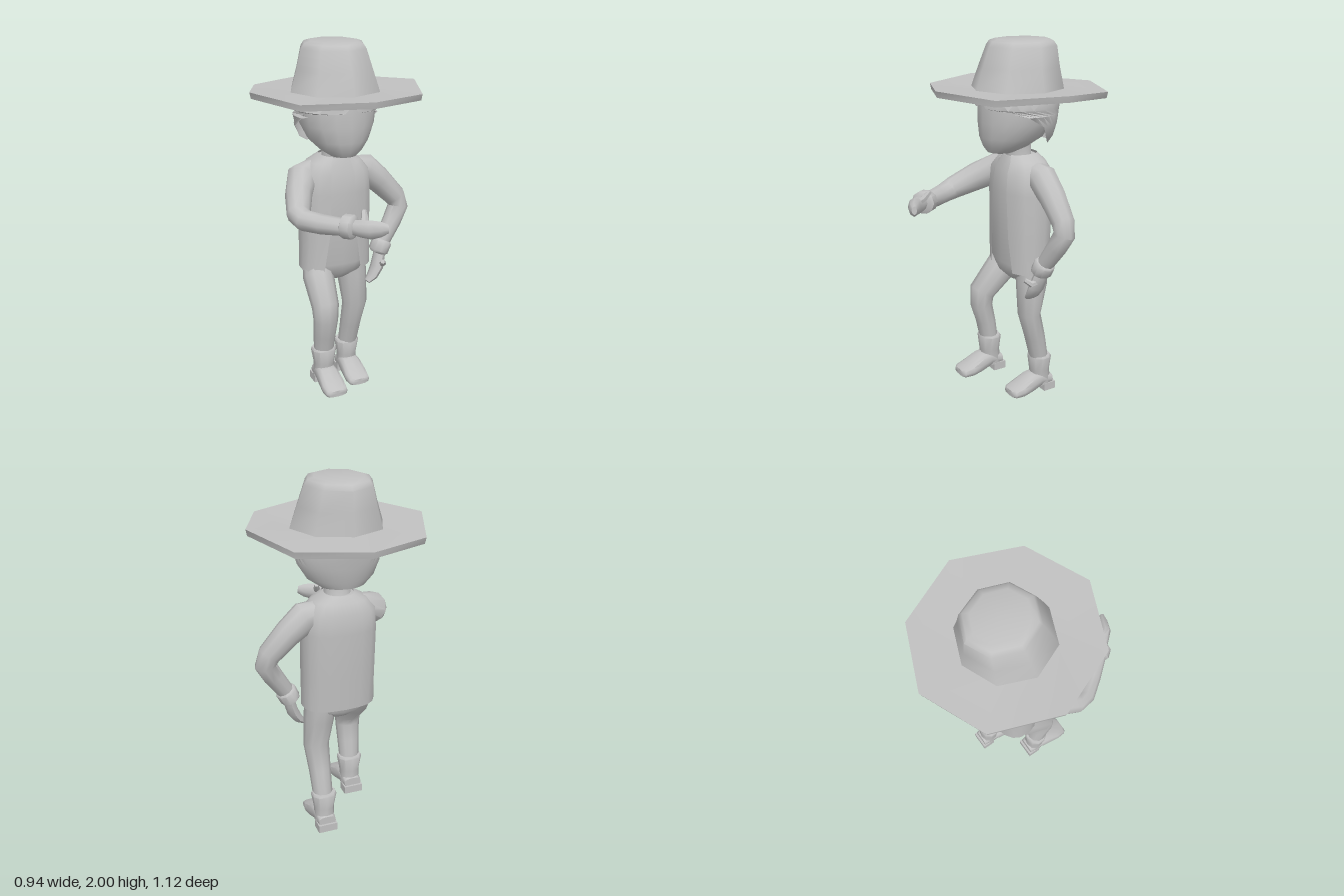
import * as THREE from 'three';
import { toCreasedNormals } from 'three/addons/utils/BufferGeometryUtils.js';

const clay = new THREE.MeshStandardMaterial({ color: 0xc0c0c0, side: THREE.DoubleSide });
clay.name = 'plain grey';
const V = (x, y, z) => new THREE.Vector3(x, y, z);
const X = V(1, 0, 0), Y = V(0, 1, 0), Z = V(0, 0, 1);

// Skins rings [x, y, z, radiusA, radiusB, frontOpening in degrees]. radiusA lies along ref.
// axis fixes the ring direction, otherwise rings follow the path. pow < 1 makes them boxy.
function loft(name, rings, { ref = X, axis = null, seg = 10, pow = 1, crease = 0.9, warp = null } = {}) {
  const pos = [], idx = [], w = seg + 1;
  const centre = (i) => V(...rings[i].slice(0, 3));
  const bend = (n) => Math.sign(n) * Math.pow(Math.abs(n) < 1e-6 ? 0 : Math.abs(n), pow);
  rings.forEach(([, , , ra, rb, open = 0], i) => {
    const c = centre(i);
    const t = axis ?? centre(Math.min(i + 1, rings.length - 1)).sub(centre(Math.max(i - 1, 0))).normalize();
    const u = ref.clone().addScaledVector(t, -ref.dot(t)).normalize();
    const v = t.clone().cross(u);
    const gap = THREE.MathUtils.degToRad(open);
    for (let j = 0; j <= seg; j++) {
      const a = -Math.PI / 2 + gap + (j / seg) * (2 * Math.PI - 2 * gap);
      const p = c.clone().addScaledVector(u, bend(Math.cos(a)) * ra).addScaledVector(v, bend(Math.sin(a)) * rb);
      if (warp) warp(p);
      pos.push(p.x, p.y, p.z);
    }
  });
  for (let i = 0; i < rings.length - 1; i++)
    for (let j = 0; j < seg; j++) {
      const a = i * w + j, b = a + w;
      idx.push(a, a + 1, b + 1, a, b + 1, b);
    }
  // end caps on closed rings
  [0, rings.length - 1].forEach((i, end) => {
    if (rings[i][5]) return;
    const k = pos.length / 3;
    const c = centre(i);
    if (warp) warp(c);
    pos.push(c.x, c.y, c.z);
    for (let j = 0; j < seg; j++) {
      const a = i * w + j;
      if (end) idx.push(k, a, a + 1);
      else idx.push(k, a + 1, a);
    }
  });
  const g = new THREE.BufferGeometry();
  g.setAttribute('position', new THREE.Float32BufferAttribute(pos, 3));
  g.setIndex(idx);
  const mesh = new THREE.Mesh(toCreasedNormals(g, crease), clay);
  mesh.name = name;
  return mesh;
}

// Boot at the origin of its leg: shaft, foot and heel block
function boot(name, x, y, z) {
  const g = new THREE.Group();
  g.name = name;
  g.add(loft('bootShaft', [
    [0, 0.04, -0.18, 0.056, 0.055], [0, 0.13, -0.17, 0.056, 0.055],
    [0, 0.215, -0.17, 0.072, 0.062], [0, 0.225, -0.17, 0.066, 0.056],
  ], { axis: Y, pow: 0.85 }));
  g.add(loft('bootFoot', [
    [0, 0.06, -0.235, 0.05, 0.03], [0, 0.075, -0.16, 0.058, 0.045],
    [0, 0.06, -0.1, 0.064, 0.052], [0, 0.036, -0.03, 0.07, 0.036],
    [0, 0.028, 0.02, 0.064, 0.025], [0, 0.026, 0.032, 0.05, 0.018],
  ], { axis: Z, pow: 0.65, seg: 12 }));
  const heel = new THREE.Mesh(new THREE.BoxGeometry(0.11, 0.045, 0.075), clay);
  heel.name = 'bootHeel';
  heel.position.set(0, 0.0225, -0.21);
  g.add(heel);
  g.position.set(x, y, z);
  return g;
}

export function createModel() {
  const model = new THREE.Group();
  model.name = 'hattedFigure';
  const upright = { axis: Y, seg: 16 };

  // Octagonal hat: underside, brim edge, crown; the brim dips at its diagonals and back
  model.add(loft('hat', [
    [0, 1.72, -0.08, 0.2, 0.2], [0, 1.735, -0.08, 0.465, 0.475],
    [0, 1.768, -0.08, 0.472, 0.482], [0, 1.75, -0.08, 0.25, 0.248],
    [0, 1.86, -0.09, 0.213, 0.22], [0, 1.965, -0.105, 0.18, 0.195],
    [0, 1.99, -0.105, 0.162, 0.178], [0, 2, -0.105, 0.13, 0.145],
  ], {
    axis: Y, seg: 8, warp: (p) => {
      const r = Math.hypot(p.x, p.z + 0.08);
      if (r < 0.4) return;
      p.y -= 0.022 * Math.max(0, -p.z - 0.08) / 0.48;
      if (Math.abs(p.x) > 0.1 && Math.abs(p.z + 0.08) > 0.1) p.y -= 0.012;
    },
  }));

  // Head, hair and neck
  model.add(loft('head', [
    [0, 1.42, 0.02, 0.07, 0.075], [0, 1.45, -0.01, 0.115, 0.125],
    [0, 1.5, -0.045, 0.163, 0.175], [0, 1.58, -0.065, 0.2, 0.198],
    [0, 1.66, -0.07, 0.21, 0.202], [0, 1.73, -0.075, 0.205, 0.2],
  ], upright));
  model.add(loft('hair', [
    [0, 1.46, -0.12, 0.14, 0.135, 125], [0, 1.5, -0.1, 0.188, 0.17, 105],
    [0, 1.57, -0.085, 0.222, 0.2, 95], [0, 1.625, -0.08, 0.229, 0.215, 72],
    [0, 1.66, -0.08, 0.23, 0.222, 10], [0, 1.7, -0.08, 0.222, 0.22, 0],
    [0, 1.74, -0.08, 0.21, 0.21, 0],
  ], { axis: Y, seg: 20, crease: 1.1 }));
  model.add(loft('neck', [
    [0, 1.35, -0.1, 0.085, 0.085], [0, 1.39, -0.09, 0.07, 0.07], [0, 1.47, -0.08, 0.075, 0.075],
  ], upright));

  // Shirt with hips, and the vest open at the front
  model.add(loft('shirtAndHips', [
    [0, 0.685, -0.1, 0.06, 0.06], [0, 0.73, -0.1, 0.15, 0.105],
    [0, 0.79, -0.095, 0.185, 0.115], [0, 1.2, -0.1, 0.185, 0.127],
    [0, 1.32, -0.105, 0.165, 0.12], [0, 1.39, -0.1, 0.085, 0.085],
  ], { ...upright, pow: 0.8 }));
  model.add(loft('vest', [
    [0, 0.755, -0.097, 0.203, 0.126, 27], [0, 0.95, -0.1, 0.203, 0.132, 18],
    [0, 1.2, -0.105, 0.203, 0.14, 15], [0, 1.31, -0.108, 0.195, 0.134, 15],
    [0, 1.365, -0.108, 0.145, 0.11, 18], [0, 1.4, -0.1, 0.08, 0.09, 25],
  ], { ...upright, pow: 0.78 }));

  // Left arm, hand near the hip
  model.add(loft('leftArm', [
    [0.1, 1.31, -0.115, 0.07, 0.06], [0.19, 1.285, -0.12, 0.08, 0.085],
    [0.28, 1.21, -0.12, 0.074, 0.073], [0.385, 1.1, -0.115, 0.062, 0.062],
    [0.405, 1.04, -0.11, 0.058, 0.058], [0.36, 0.96, -0.095, 0.053, 0.054],
    [0.275, 0.83, -0.07, 0.042, 0.045],
  ], { ref: Z }));
  model.add(loft('leftCuff', [
    [0.258, 0.79, -0.068, 0.046, 0.046], [0.262, 0.8, -0.068, 0.06, 0.056],
    [0.287, 0.85, -0.072, 0.058, 0.058], [0.292, 0.86, -0.073, 0.048, 0.048],
  ], { ref: Z }));
  model.add(loft('leftHand', [
    [0.275, 0.82, -0.07, 0.036, 0.035], [0.262, 0.765, -0.06, 0.044, 0.032],
    [0.245, 0.71, -0.05, 0.05, 0.032], [0.215, 0.66, -0.045, 0.042, 0.026],
    [0.18, 0.63, -0.04, 0.024, 0.014],
  ], { ref: Z, seg: 8 }));
  model.add(loft('leftThumb', [
    [0.265, 0.75, -0.04, 0.02, 0.018], [0.262, 0.74, -0.005, 0.02, 0.018],
    [0.245, 0.765, 0.028, 0.012, 0.012],
  ], { seg: 6 }));

  // Right arm, reaching forward
  model.add(loft('rightArm', [
    [-0.1, 1.31, -0.125, 0.07, 0.06], [-0.19, 1.28, -0.1, 0.085, 0.085],
    [-0.255, 1.225, 0.02, 0.078, 0.072], [-0.305, 1.165, 0.145, 0.063, 0.062],
    [-0.295, 1.15, 0.2, 0.055, 0.06], [-0.235, 1.15, 0.29, 0.051, 0.055],
    [-0.14, 1.16, 0.42, 0.042, 0.045],
  ], { ref: Y }));
  model.add(loft('rightCuff', [
    [-0.165, 1.162, 0.382, 0.048, 0.05], [-0.158, 1.162, 0.39, 0.062, 0.065],
    [-0.128, 1.165, 0.428, 0.062, 0.065], [-0.121, 1.165, 0.436, 0.047, 0.048],
  ], { ref: Y }));
  model.add(loft('rightHand', [
    [-0.14, 1.165, 0.42, 0.036, 0.036], [-0.105, 1.165, 0.465, 0.045, 0.036],
    [-0.07, 1.168, 0.507, 0.05, 0.034], [-0.025, 1.172, 0.53, 0.04, 0.026],
    [0.008, 1.175, 0.545, 0.022, 0.014],
  ], { ref: Y, seg: 8 }));
  model.add(loft('rightThumb', [
    [-0.095, 1.18, 0.475, 0.02, 0.02], [-0.075, 1.205, 0.445, 0.02, 0.018],
    [-0.065, 1.24, 0.415, 0.012, 0.012],
  ], { seg: 6 }));

  // Legs: left one standing, right one stepping
  model.add(loft('leftLeg', [
    [0.1, 0.82, -0.11, 0.085, 0.09], [0.112, 0.68, -0.108, 0.085, 0.088],
    [0.122, 0.5, -0.087, 0.073, 0.06], [0.116, 0.35, -0.13, 0.062, 0.057],
    [0.11, 0.18, -0.17, 0.055, 0.05],
  ]));
  model.add(loft('rightLeg', [
    [-0.1, 0.82, -0.11, 0.085, 0.08], [-0.118, 0.71, -0.05, 0.087, 0.088],
    [-0.128, 0.58, 0.07, 0.076, 0.072], [-0.128, 0.5, 0.075, 0.07, 0.06],
    [-0.125, 0.4, 0.05, 0.064, 0.054], [-0.123, 0.26, 0.025, 0.055, 0.05],
  ]));
  model.add(boot('leftBoot', 0.108, 0, 0));
  model.add(boot('rightBoot', -0.123, 0.085, 0.197));
  return model;
}
